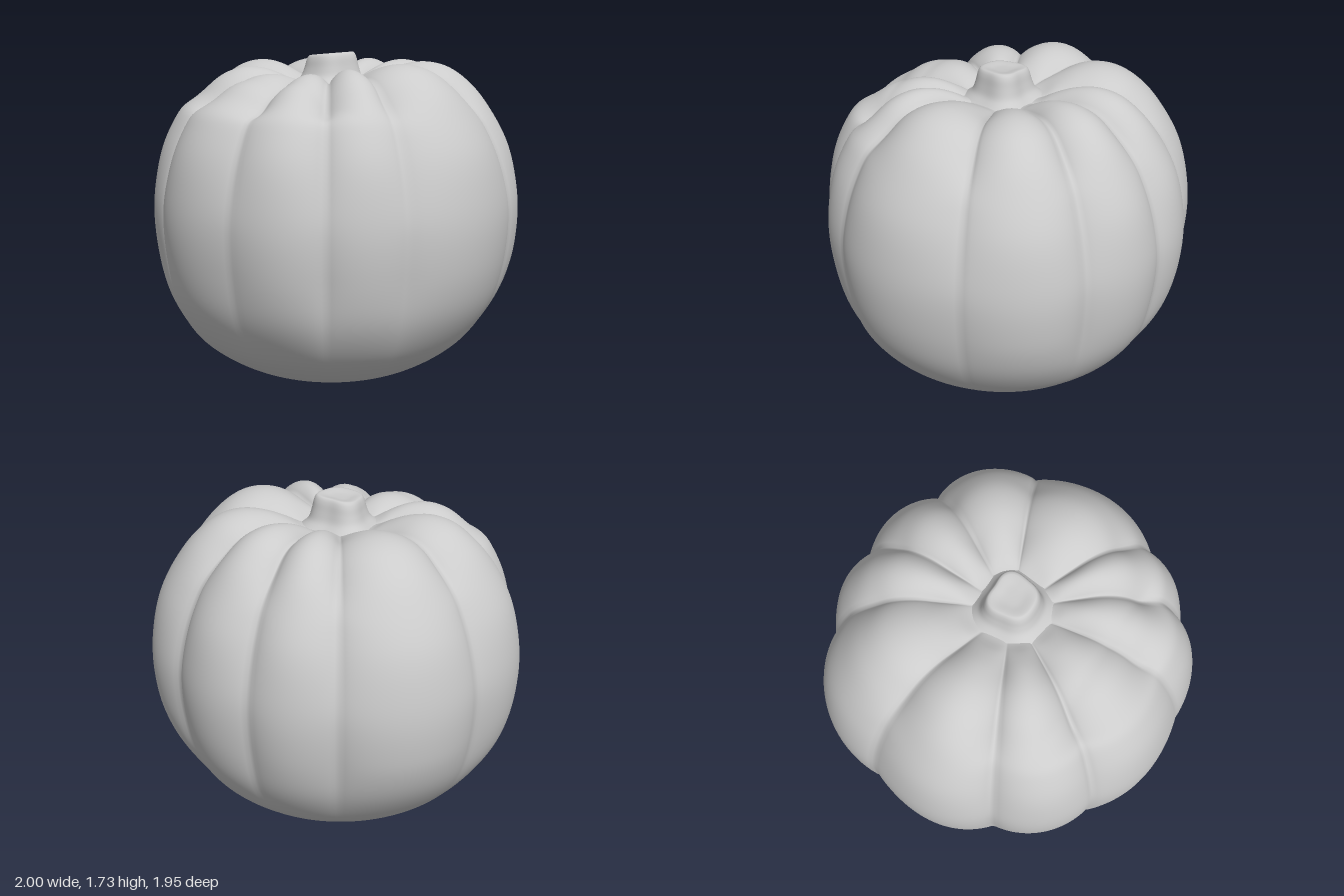
import * as THREE from 'three';
import { mergeVertices } from 'three/addons/utils/BufferGeometryUtils.js';

const { smoothstep, lerp } = THREE.MathUtils;

// Grooves around the body: [azimuth in degrees (0 = +x, 90 = +z), groove radius, radius of the lobe after it]
const GROOVES = [
  [-164, 0.965, 1.045], [-119.5, 0.96, 0.995], [-92, 0.945, 0.995], [-61, 0.945, 1.025],
  [-24, 0.98, 1.0], [25, 0.94, 0.965], [50, 0.925, 0.985], [79, 0.95, 0.975],
  [120, 0.915, 0.97], [154, 0.905, 1.0],
];

// Lobe radius and groove strength (0 on a lobe's crest, 1 in a groove) at an azimuth
function lobeAt(degrees) {
  const n = GROOVES.length;
  const a = degrees < GROOVES[0][0] ? degrees + 360 : degrees;
  let i = n - 1;
  while (a < GROOVES[i][0]) i--;
  const [start, r0, peak] = GROOVES[i];
  const [next, r1] = GROOVES[(i + 1) % n];
  const end = i === n - 1 ? next + 360 : next;
  const t = (a - start) / (end - start);
  const bulge = Math.pow(Math.max(0, Math.sin(Math.PI * t)), 0.7);
  return { radius: lerp(lerp(r0, r1, t), peak, bulge), groove: 1 - bulge };
}

// Smooth closed skin of revolution whose vertices are then moved by a rule
function shapedLathe(profile, rows, segments, rule) {
  const curve = new THREE.CatmullRomCurve3(
    profile.map(([r, y]) => new THREE.Vector3(r, y, 0)), false, 'centripetal');
  const points = curve.getSpacedPoints(rows).map(p => new THREE.Vector2(Math.max(0, p.x), p.y));
  points[0].x = points[rows].x = 0;
  const lathe = new THREE.LatheGeometry(points, segments);
  const pos = lathe.attributes.position;
  const v = new THREE.Vector3();
  for (let i = 0; i < pos.count; i++) {
    v.fromBufferAttribute(pos, i);
    rule(v, Math.hypot(v.x, v.z), Math.atan2(v.z, v.x));
    pos.setXYZ(i, v.x, v.y, v.z);
  }
  lathe.deleteAttribute('normal');
  lathe.deleteAttribute('uv');
  const geometry = mergeVertices(lathe, 1e-5);
  geometry.computeVertexNormals();
  return geometry;
}

// Ribbed body with a small navel underneath and a sunken crown
function bodyGeometry() {
  const profile = [
    [0, 0.025], [0.05, 0.03], [0.08, 0.055], [0.14, 0.045], [0.25, 0.015], [0.38, 0.005], [0.5, 0.04],
    [0.67, 0.135], [0.79, 0.24], [0.91, 0.42], [0.97, 0.6], [1, 0.85], [0.985, 1.05],
    [0.935, 1.25], [0.84, 1.43], [0.74, 1.56], [0.62, 1.65], [0.5, 1.68], [0.38, 1.665],
    [0.27, 1.62], [0.19, 1.575], [0.1, 1.56], [0, 1.56],
  ];
  return shapedLathe(profile, 110, 240, (v, r, a) => {
    const { radius, groove } = lobeAt(THREE.MathUtils.radToDeg(a));
    const y = v.y;
    const scale = lerp(0.985, radius, smoothstep(y, 0.1, 0.7));
    const crown = smoothstep(y, 1.35, 1.62) * smoothstep(r, 0.12, 0.4);
    const shoulder = smoothstep(y, 0.9, 1.4) * smoothstep(r, 0.4, 0.8);
    const s = scale - 0.035 * groove * shoulder;
    v.x *= s;
    v.z *= s;
    v.y -= 0.075 * groove * crown;
    // the crown dips toward the front
    const front = Math.max(0, v.z);
    v.y -= Math.min(0.075, 0.3 * front * front) * smoothstep(y, 1.4, 1.62);
  });
}

// Cut stem: flared foot, rounded-square section, slanted and slightly dished top
function stemGeometry() {
  const profile = [
    [0, 1.5], [0.15, 1.5], [0.215, 1.55], [0.185, 1.575], [0.155, 1.605], [0.138, 1.65],
    [0.125, 1.7], [0.112, 1.722], [0.09, 1.722], [0.05, 1.715], [0, 1.713],
  ];
  return shapedLathe(profile, 50, 64, (v, r, a) => {
    const k = 1 + 0.06 * -Math.cos(4 * a) + 0.05 * Math.cos(3 * a + 0.5 * Math.PI);
    v.x *= k;
    v.z = v.z * k + 0.005;
    v.y += (0.08 * v.x - 0.03 * v.z) * smoothstep(v.y, 1.6, 1.7);
  });
}

export function createModel() {
  const material = new THREE.MeshStandardMaterial({ color: 0xcccccc });
  const model = new THREE.Group();
  model.name = 'pumpkin';
  const body = new THREE.Mesh(bodyGeometry(), material);
  body.name = 'ribbedBody';
  const stem = new THREE.Mesh(stemGeometry(), material);
  stem.name = 'stem';
  model.add(body, stem);
  return model;
}
